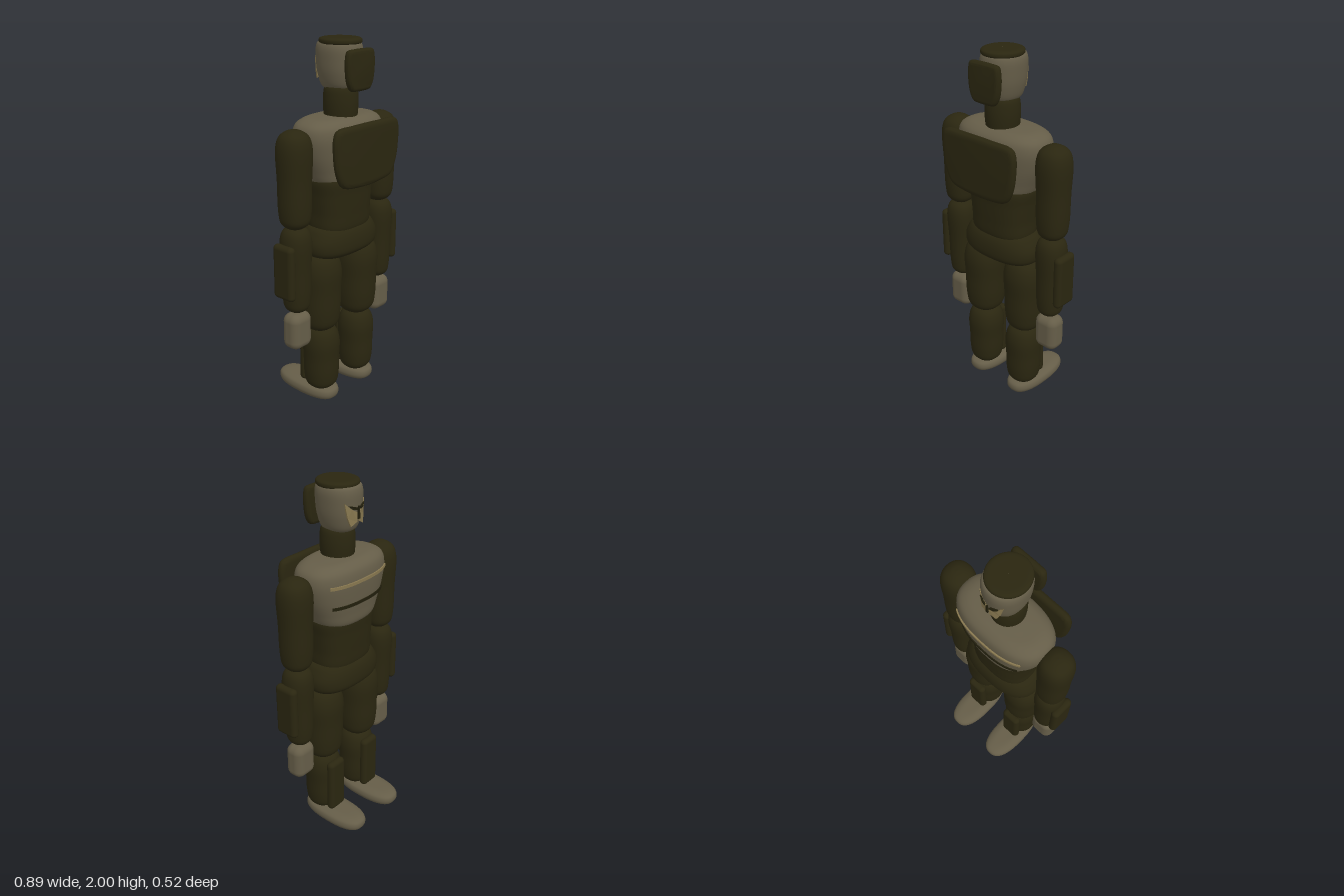
import * as THREE from 'three';
import { toCreasedNormals } from 'three/addons/utils/BufferGeometryUtils.js';
import { RoundedBoxGeometry } from 'three/addons/geometries/RoundedBoxGeometry.js';

const paint = (name, color) => {
  const m = new THREE.MeshStandardMaterial({ color });
  m.name = name;
  return m;
};

// point on a squared-off ellipse; n = 2 is round, larger is boxier
function ringPoint(t, rx, rz, n) {
  const c = Math.cos(t), s = Math.sin(t);
  return [rx * Math.sign(c) * Math.abs(c) ** (2 / n), rz * Math.sign(s) * Math.abs(s) ** (2 / n)];
}

// smooth closed body through rings of [y, rx, rz], from bottom to top
function loft(rings, n = 2, steps = 48, seg = 48) {
  const curve = new THREE.CatmullRomCurve3(rings.map(r => new THREE.Vector3(r[0], r[1], r[2])));
  const pos = [], idx = [];
  for (let i = 0; i <= steps; i++) {
    const p = curve.getPoint(i / steps);
    for (let j = 0; j < seg; j++) {
      const [x, z] = ringPoint(j / seg * Math.PI * 2, Math.max(p.y, 0.001), Math.max(p.z, 0.001), n);
      pos.push(x, p.x, z);
      if (i < steps) {
        const a = i * seg + j, b = i * seg + (j + 1) % seg;
        idx.push(a, a + seg, b + seg, a, b + seg, b);
      }
    }
  }
  const g = new THREE.BufferGeometry();
  g.setAttribute('position', new THREE.Float32BufferAttribute(pos, 3));
  g.setIndex(idx);
  g.computeVertexNormals();
  return g;
}

// rounded limb segment between two heights
function limb(y0, y1, rx, rz, taper = 1) {
  const h = y1 - y0, e = Math.min(rx, h * 0.25);
  return loft([[y0, 0, 0], [y0 + e * 0.08, rx * 0.5 * taper, rz * 0.5 * taper],
    [y0 + e * 0.4, rx * 0.88 * taper, rz * 0.88 * taper], [y0 + e, rx * taper, rz * taper],
    [y0 + h * 0.5, rx * (1 + taper) / 2, rz * (1 + taper) / 2], [y1 - e, rx, rz],
    [y1 - e * 0.4, rx * 0.82, rz * 0.82], [y1 - e * 0.08, rx * 0.4, rz * 0.4], [y1, 0, 0]], 2.2);
}

// rounded plate, mirrored outline from half points running top to bottom
function plate(half, thick, bevel) {
  const pts = [...half, ...half.slice().reverse().map(([x, y]) => [-x, y])]
    .map(([x, y]) => new THREE.Vector3(x, y, 0));
  const outline = new THREE.CatmullRomCurve3(pts, true).getPoints(48).slice(0, -1);
  const shape = new THREE.Shape(outline.map(p => new THREE.Vector2(p.x, p.y)));
  const b = thick * 0.45;
  const g = new THREE.ExtrudeGeometry(shape, { depth: thick - 2 * b, bevelThickness: b,
    bevelSize: bevel, bevelOffset: -bevel, bevelSegments: 5 });
  g.translate(0, 0, b);
  return toCreasedNormals(g, 0.9);
}

// thin polygon wrapped around the face
function facePatch(points, lift) {
  const shape = new THREE.Shape(points.map(p => new THREE.Vector2(...p)));
  const g = new THREE.ExtrudeGeometry(shape, { depth: 0.008, bevelEnabled: false });
  const p = g.attributes.position;
  for (let i = 0; i < p.count; i++) {
    const u = p.getX(i) / 0.115;
    p.setZ(i, p.getZ(i) + 0.042 - lift - 0.122 * Math.sqrt(1 - u * u));
  }
  g.computeVertexNormals();
  return g;
}

// narrow band that follows the chest
function chestBand(y, rx, rz, n) {
  const pos = [], idx = [], N = 24, h = 0.008;
  for (let i = 0; i <= N; i++) {
    const t = Math.PI * (1.24 + 0.52 * i / N);
    const [xo, zo] = ringPoint(t, rx, rz, n), [xi, zi] = ringPoint(t, rx - 0.03, rz - 0.03, n);
    pos.push(xi, y - h, zi, xo, y - h, zo, xo, y + h, zo, xi, y + h, zi);
    if (i < N) for (let k = 0; k < 3; k++) {
      const a = i * 4 + k;
      idx.push(a, a + 1, a + 5, a, a + 5, a + 4);
    }
  }
  const g = new THREE.BufferGeometry();
  g.setAttribute('position', new THREE.Float32BufferAttribute(pos, 3));
  g.setIndex(idx);
  return toCreasedNormals(g, 0.6);
}

export function createModel() {
  const model = new THREE.Group();
  model.name = 'figure';
  const dark = paint('dark olive', 0x2a2610);
  const deep = paint('deep olive', 0x211e0c);
  const khaki = paint('khaki', 0x655d48);
  const tan = paint('tan', 0x87774f);
  tan.side = deep.side = THREE.DoubleSide;
  const add = (name, geo, mat, x = 0, y = 0, z = 0) => {
    const m = new THREE.Mesh(geo, mat);
    m.name = name;
    m.position.set(x, y, z);
    model.add(m);
    return m;
  };

  // torso
  add('pelvis', loft([[0.85, 0, 0], [0.853, 0.12, 0.08], [0.862, 0.205, 0.12], [0.89, 0.235, 0.146],
    [0.94, 0.24, 0.15], [0.99, 0.22, 0.14], [1.02, 0.195, 0.12], [1.033, 0.12, 0.08], [1.035, 0, 0]], 2.5),
    dark, 0, 0, 0.04);
  add('abdomen', loft([[0.99, 0, 0], [0.992, 0.14, 0.1], [1.01, 0.178, 0.125], [1.1, 0.184, 0.133],
    [1.2, 0.192, 0.137], [1.29, 0.198, 0.138], [1.32, 0.15, 0.1], [1.322, 0, 0]], 2.6), dark, 0, 0, 0.042);
  add('chest', loft([[1.245, 0, 0], [1.248, 0.14, 0.1], [1.27, 0.19, 0.138], [1.34, 0.225, 0.15],
    [1.43, 0.26, 0.16], [1.52, 0.277, 0.163], [1.57, 0.265, 0.152], [1.6, 0.22, 0.12],
    [1.61, 0.13, 0.07], [1.612, 0, 0]], 2.5, 64, 64), khaki, 0, 0, 0.035);
  add('upperChestBand', chestBand(1.51, 0.281, 0.171, 2.5), tan, 0, 0, 0.035);
  add('lowerChestBand', chestBand(1.39, 0.252, 0.163, 2.5), deep, 0, 0, 0.035);
  add('backPlate', plate([[0.1, 1.588], [0.225, 1.58], [0.247, 1.54], [0.248, 1.46], [0.232, 1.36],
    [0.19, 1.285], [0.08, 1.262]], 0.045, 0.03), dark, 0, 0, 0.21);

  // neck and head
  add('neck', loft([[1.57, 0, 0], [1.572, 0.08, 0.08], [1.62, 0.089, 0.09], [1.7, 0.092, 0.092],
    [1.75, 0.083, 0.083], [1.775, 0.05, 0.05], [1.778, 0, 0]]), dark, 0, 0, 0.053);
  add('head', loft([[1.735, 0, 0], [1.738, 0.05, 0.06], [1.755, 0.08, 0.092], [1.82, 0.102, 0.113],
    [1.89, 0.11, 0.12], [1.95, 0.11, 0.12], [1.975, 0.1, 0.11], [1.985, 0.05, 0.05], [1.986, 0, 0]], 2.2),
    khaki, 0, 0, 0.042);
  add('cap', loft([[1.966, 0, 0], [1.967, 0.09, 0.09], [1.974, 0.107, 0.112], [1.99, 0.107, 0.112],
    [1.998, 0.095, 0.1], [2, 0.05, 0.05], [2, 0, 0]]), dark, 0, 0, 0.05);
  add('rearHeadPlate', plate([[0.04, 1.951], [0.09, 1.945], [0.102, 1.91], [0.103, 1.85],
    [0.092, 1.785], [0.068, 1.748], [0.03, 1.742]], 0.042, 0.02), dark, 0, 0, 0.159);
  add('nose', facePatch([[-0.007, 1.82], [0.007, 1.82], [0.004, 1.885], [-0.004, 1.885]], 0.012), deep);

  for (const s of [-1, 1]) {
    const side = s > 0 ? 'left' : 'right';

    // face
    const flip = pts => pts.map(([x, y]) => [s * x, y]);
    add(side + 'Cheek', facePatch(flip([[0.009, 1.805], [0.045, 1.785], [0.06, 1.83], [0.072, 1.905],
      [0.04, 1.872], [0.009, 1.855]]), 0.006), tan);
    add(side + 'Eye', facePatch(flip([[0.014, 1.868], [0.035, 1.872], [0.055, 1.89], [0.035, 1.887],
      [0.014, 1.88]]), 0.011), deep);

    // arm
    add(side + 'UpperArm', limb(1.06, 1.58, 0.09, 0.09, 0.92), dark, s * 0.335, 0, 0.042);
    add(side + 'Forearm', limb(0.59, 1.08, 0.08, 0.083, 0.88), dark, s * 0.333, 0, 0.042);
    add(side + 'ForearmPad', new RoundedBoxGeometry(0.05, 0.3, 0.135, 6, 0.024), dark, s * 0.418, 0.84, 0.042);
    add(side + 'Hand', new RoundedBoxGeometry(0.142, 0.205, 0.115, 6, 0.045), khaki, s * 0.333, 0.483, 0.042);

    // leg
    add(side + 'Thigh', limb(0.42, 0.9, 0.115, 0.117, 0.94), dark, s * 0.152, 0, 0.04);
    add(side + 'Shin', limb(0.05, 0.455, 0.1, 0.1, 0.95), dark, s * 0.148, 0, 0.045);
    add(side + 'ShinPlate', new RoundedBoxGeometry(0.12, 0.33, 0.05, 6, 0.024), dark, s * 0.148, 0.24, -0.053);
    add(side + 'Foot', loft([[0, 0, 0], [0.001, 0.06, 0.165], [0.012, 0.085, 0.195], [0.035, 0.095, 0.205],
      [0.06, 0.09, 0.2], [0.076, 0.065, 0.165], [0.08, 0, 0]], 2.5), khaki, s * 0.15, 0, -0.055);
  }
  return model;
}
